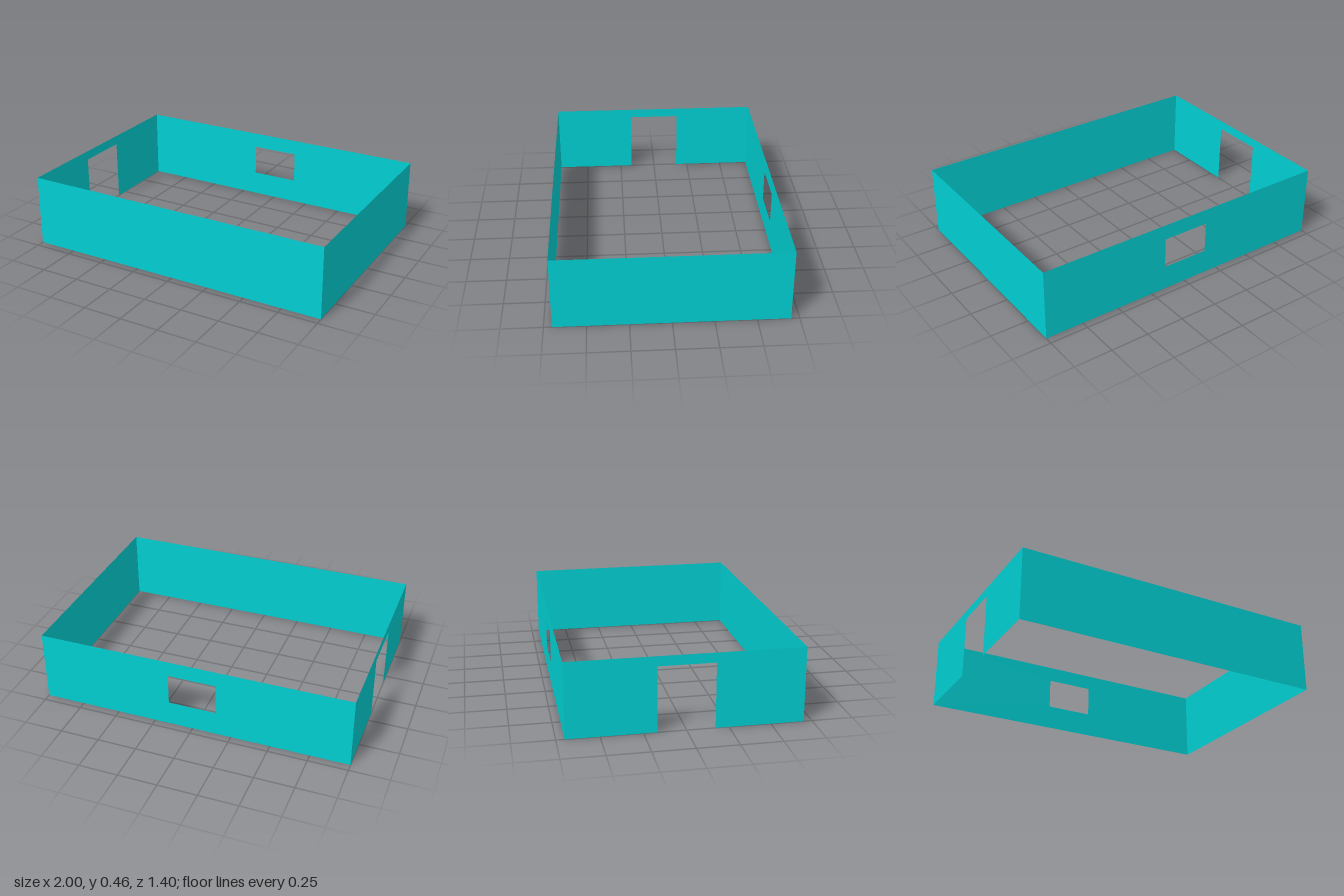
import * as THREE from 'three';

const HEIGHT = 0.46, HALF_X = 1, HALF_Z = 0.7;

// Paper-thin walls, seen from both sides
const material = new THREE.MeshStandardMaterial({ color: 0x00ced1, side: THREE.DoubleSide });

const polygon = (points) => points.map(([x, y]) => new THREE.Vector2(x, y));
const rect = (half, y0, y1) => polygon([[-half, y0], [half, y0], [half, y1], [-half, y1]]);

function wall(name, shape, x, z, turn) {
  const mesh = new THREE.Mesh(new THREE.ShapeGeometry(shape), material);
  mesh.name = name;
  mesh.position.set(x, 0, z);
  mesh.rotation.y = turn;
  return mesh;
}

export function createModel() {
  const group = new THREE.Group();
  group.name = 'roomWalls';

  // Back wall with a window hole
  const windowed = new THREE.Shape(rect(HALF_X, 0, HEIGHT));
  windowed.holes.push(new THREE.Path(rect(0.154, 0.16, 0.36)));

  // Side wall with a doorway open to the ground
  const door = 0.17, doorTop = 0.4;
  const doorway = new THREE.Shape(polygon([
    [-HALF_Z, 0], [-door, 0], [-door, doorTop], [door, doorTop],
    [door, 0], [HALF_Z, 0], [HALF_Z, HEIGHT], [-HALF_Z, HEIGHT],
  ]));

  group.add(
    wall('frontWall', new THREE.Shape(rect(HALF_X, 0, HEIGHT)), 0, HALF_Z, 0),
    wall('backWallWithWindow', windowed, 0, -HALF_Z, Math.PI),
    wall('leftWall', new THREE.Shape(rect(HALF_Z, 0, HEIGHT)), HALF_X, 0, Math.PI / 2),
    wall('rightWallWithDoorway', doorway, -HALF_X, 0, -Math.PI / 2),
  );
  return group;
}
